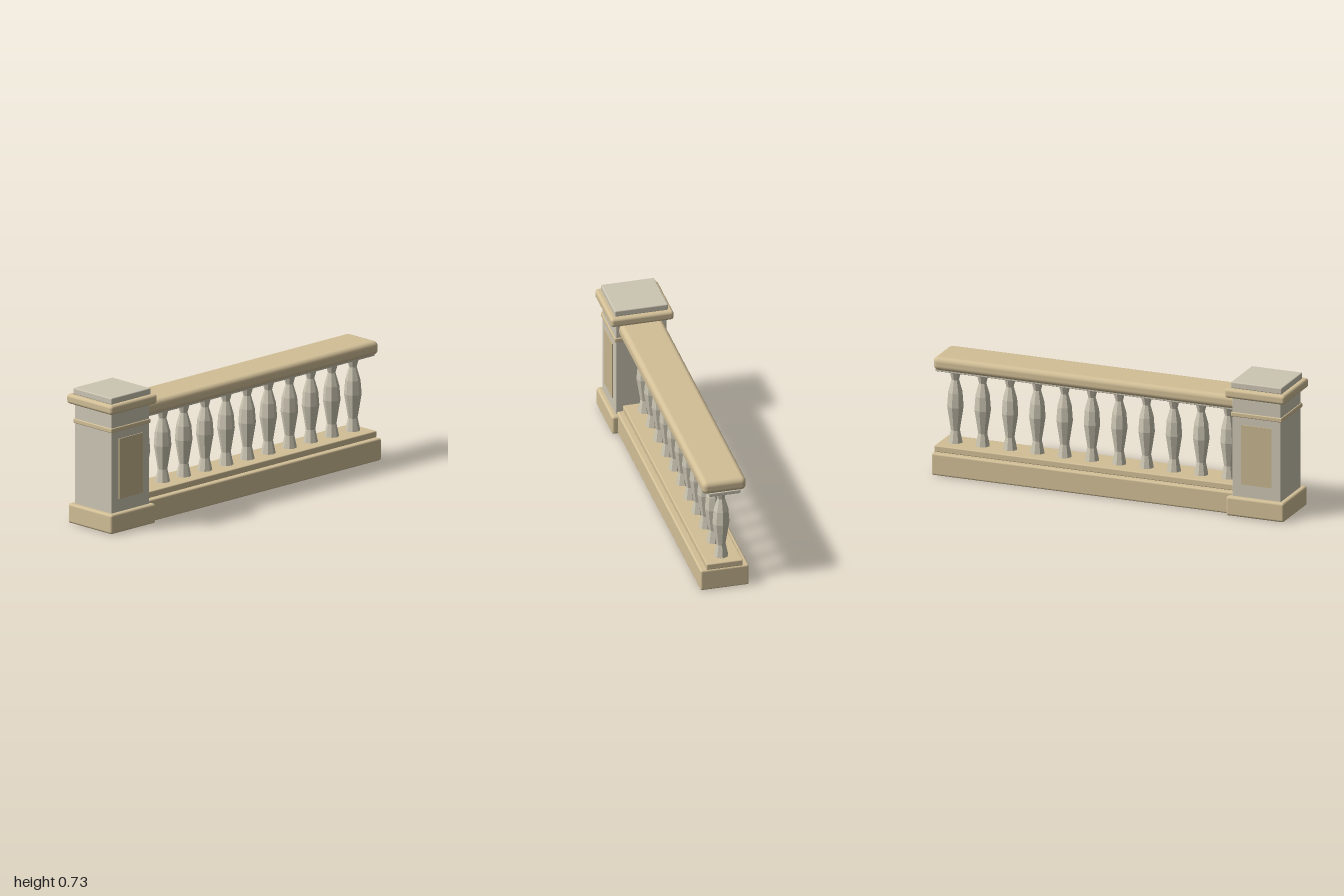
import * as THREE from 'three';
import { RoundedBoxGeometry } from 'three/addons/geometries/RoundedBoxGeometry.js';

export function createModel() {
  const model = new THREE.Group();
  model.name = 'balustrade';

  const material = (name, color) => {
    const m = new THREE.MeshStandardMaterial({ color });
    m.name = name;
    return m;
  };
  const sandstone = material('sandstone', 0xd2bf97);
  const paleStone = material('paleStone', 0xccc6b3);
  const panelStone = material('panelStone', 0xc8b68f);

  // Rounded block given by its x and y ranges and its depth, centred on z = 0
  function block(parent, name, mat, [x0, x1], [y0, y1], depth, radius) {
    const geometry = new RoundedBoxGeometry(x1 - x0, y1 - y0, depth, 3, radius);
    const mesh = new THREE.Mesh(geometry, mat);
    mesh.position.set((x0 + x1) / 2, (y0 + y1) / 2, 0);
    mesh.name = name;
    parent.add(mesh);
    return mesh;
  }

  // Square pillar
  const pillar = new THREE.Group();
  pillar.name = 'pillar';
  model.add(pillar);
  const pillarX = -0.831;
  const square = (name, mat, size, y, radius) =>
    block(pillar, name, mat, [pillarX - size / 2, pillarX + size / 2], y, size, radius);
  square('pillarBase', sandstone, 0.325, [0, 0.105], 0.013);
  square('pillarShaft', paleStone, 0.274, [0.09, 0.65], 0.006);
  square('pillarBand', sandstone, 0.286, [0.54, 0.564], 0.005);
  square('pillarCap', sandstone, 0.338, [0.645, 0.696], 0.016);
  square('pillarTop', paleStone, 0.286, [0.694, 0.729], 0.006);

  // Raised panels on the front and back of the pillar
  for (const side of [1, -1]) {
    const panel = new THREE.Mesh(new THREE.BoxGeometry(0.17, 0.325, 0.008), panelStone);
    panel.position.set(pillarX, 0.337, side * 0.138);
    panel.name = side > 0 ? 'frontPanel' : 'backPanel';
    pillar.add(panel);
  }

  // Long courses of the railing
  const railing = new THREE.Group();
  railing.name = 'railing';
  model.add(railing);
  block(railing, 'plinth', sandstone, [-0.72, 1], [0, 0.119], 0.26, 0.01);
  block(railing, 'bottomRail', sandstone, [-0.72, 0.997], [0.117, 0.152], 0.195, 0.006);
  block(railing, 'railSoffit', paleStone, [-0.72, 0.997], [0.555, 0.575], 0.168, 0.003);
  block(railing, 'handrail', sandstone, [-0.74, 1], [0.568, 0.642], 0.236, 0.028);

  // Eight-sided balusters with flat faces
  const profile = [
    [0.04, 0.148], [0.025, 0.22], [0.046, 0.35], [0.04, 0.425], [0.02, 0.495], [0.037, 0.56],
  ].map(([r, y]) => new THREE.Vector2(r, y));
  const balusterGeometry = new THREE.LatheGeometry(profile, 8).toNonIndexed();
  balusterGeometry.computeVertexNormals();
  const count = 11;
  for (let i = 0; i < count; i++) {
    const baluster = new THREE.Mesh(balusterGeometry, paleStone);
    baluster.position.x = -0.617 + i * 0.1535;
    baluster.name = `baluster${i + 1}`;
    railing.add(baluster);
  }

  return model;
}
